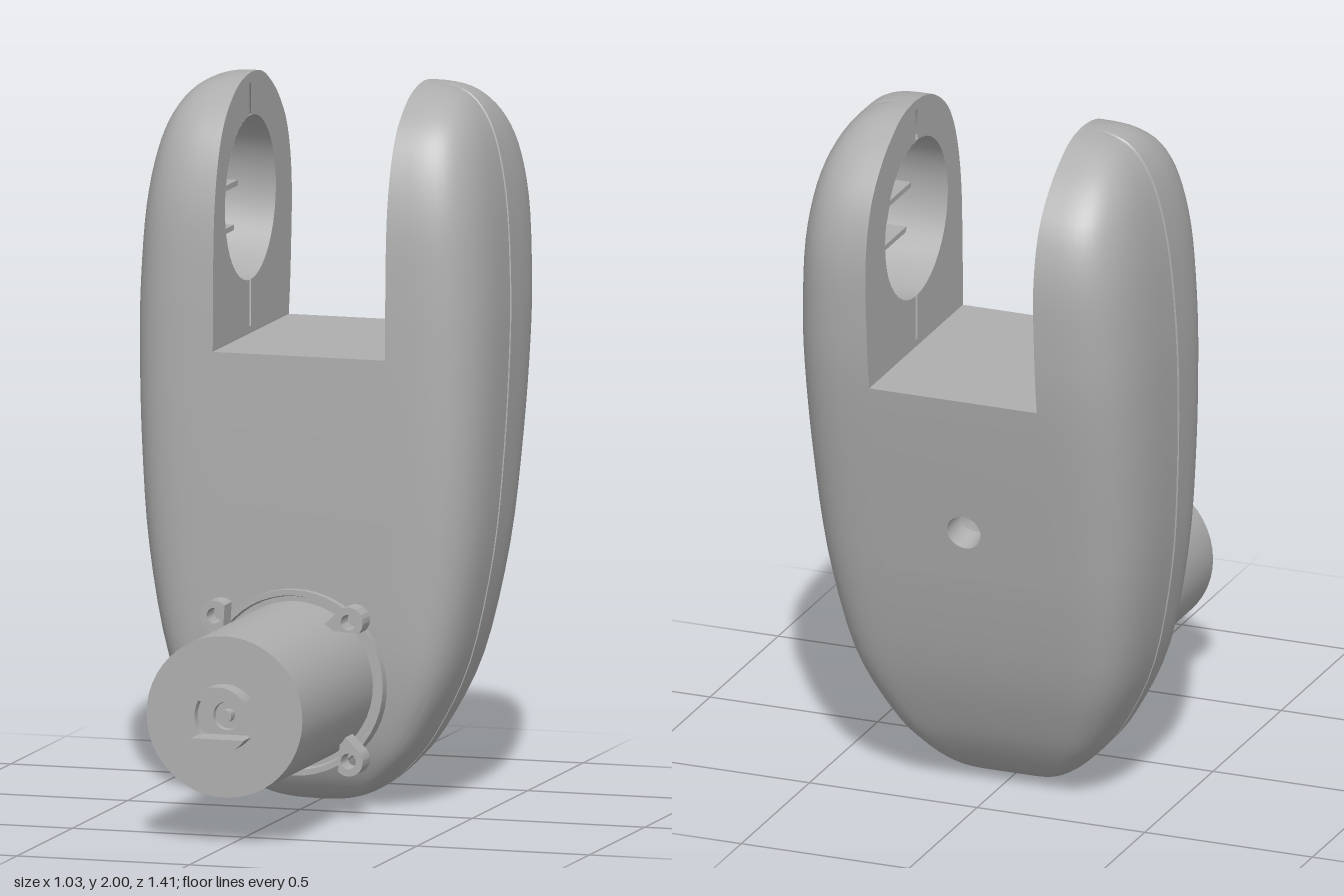
import * as THREE from 'three';
import { mergeGeometries, toCreasedNormals } from 'three/addons/utils/BufferGeometryUtils.js';

const grey = new THREE.MeshStandardMaterial({ color: 0xaeaeae, side: THREE.DoubleSide });
grey.name = 'satin grey';

const SLOT = 0.25;            // half width of the fork slot
const SUB = 4;                // rows per profile step
const PANEL_ROW = 6 * SUB;    // flat rear panel spans one profile step from here
const FLOOR_ROW = 8 * SUB;    // slot floor

// Body profile: height, half width, front z, back z
const keys = [
  [0, 0, -0.2, -0.2], [0.012, 0.1, -0.155, -0.245], [0.04, 0.175, -0.117, -0.293],
  [0.1, 0.25, -0.077, -0.345], [0.2, 0.328, -0.04, -0.405], [0.4, 0.42, -0.007, -0.488],
  [0.7, 0.481, 0.004, -0.567], [1.0, 0.506, 0.01, -0.627], [1.27, 0.515, 0.01, -0.677],
  [1.45, 0.513, 0.008, -0.697], [1.65, 0.5, -0.003, -0.703], [1.8, 0.475, -0.04, -0.665],
  [1.9, 0.44, -0.1, -0.585], [1.965, 0.39, -0.19, -0.49], [1.992, 0.325, -0.27, -0.42],
  [2, SLOT, -0.345, -0.345],
];
const LAST_ROW = (keys.length - 1) * SUB;
const curve = (a, b) => new THREE.CatmullRomCurve3(
  keys.map(k => new THREE.Vector3(k[a], k[b], 0)), false, 'catmullrom', 0.5);
const widthCurve = curve(0, 1), depthCurve = curve(2, 3);

function profile(row) {
  const a = widthCurve.getPoint(row / LAST_ROW), b = depthCurve.getPoint(row / LAST_ROW);
  const onPanel = row >= PANEL_ROW && row <= PANEL_ROW + SUB;
  return {
    y: a.x, w: a.y, front: b.x,
    f: row >= PANEL_ROW ? SLOT : Math.min(SLOT, a.y * 0.6),
    back: onPanel ? THREE.MathUtils.mapLinear(a.x, 0.7, 1.0, -0.567, -0.627) : b.y,
  };
}

// Half cross-section from the back, round the side with its seam groove, to the front
function halfSection(row) {
  const { y, w, f, front, back } = profile(row);
  const seam = THREE.MathUtils.lerp(-0.2, -0.345, y / 2);
  const e = 2 / 3.4, n = 16, pts = [];
  const groove = Math.min(1, Math.max(0, w - f) / 0.1);
  for (let i = -n; i <= n; i++) {
    const a = Math.abs(i) / n * Math.PI / 2;
    const reach = i < 0 ? back - seam : front - seam;
    const x = Math.abs(i) === n ? f : f + (w - f) * Math.cos(a) ** e;
    const z = seam + reach * Math.sin(a) ** e;
    if (i === 0) {
      pts.push([w, y, seam - 0.006 * groove], [w - 0.012 * groove, y, seam], [w, y, seam + 0.006 * groove]);
    } else pts.push([x, y, z]);
  }
  return pts;
}

// Surface through rows of points
function loft(rows) {
  const cols = rows[0].length, index = [];
  for (let r = 0; r < rows.length - 1; r++) {
    for (let c = 0; c < cols - 1; c++) {
      const a = r * cols + c, b = a + 1, d = a + cols;
      index.push(a, d, b, b, d, d + 1);
    }
  }
  const g = new THREE.BufferGeometry();
  g.setAttribute('position', new THREE.Float32BufferAttribute(rows.flat(2), 3));
  g.setIndex(index);
  return g.toNonIndexed();
}

function mirrored(geo) {
  const g = geo.index ? geo.toNonIndexed() : geo.clone();
  const p = g.attributes.position;
  const a = new THREE.Vector3(), b = new THREE.Vector3();
  for (let i = 0; i < p.count; i += 3) {
    a.fromBufferAttribute(p, i + 1);
    b.fromBufferAttribute(p, i + 2);
    p.setXYZ(i + 1, b.x, b.y, b.z);
    p.setXYZ(i + 2, a.x, a.y, a.z);
  }
  for (let i = 0; i < p.count; i++) p.setX(i, -p.getX(i));
  g.computeVertexNormals();
  return g;
}

const range = (a, b) => Array.from({ length: b - a + 1 }, (_, i) => a + i);
const vectors = pts => pts.map(p => new THREE.Vector2(...p));

export function createModel() {
  const model = new THREE.Group();
  model.name = 'forkedBracketWithMotor';
  const add = (geo, name, parent = model) => {
    const m = new THREE.Mesh(geo, grey);
    m.name = name;
    parent.add(m);
    return m;
  };

  // Outer shell: two sides joined by front and back strips below the slot
  const side = loft(range(0, LAST_ROW).map(halfSection));
  const strip = (from, to, face) => loft(range(from, to).map(r => {
    const { y, f, front, back } = profile(r);
    return face === 'front' ? [[f, y, front], [-f, y, front]] : [[-f, y, back], [f, y, back]];
  }));
  const shell = mergeGeometries([side, mirrored(side), strip(0, FLOOR_ROW, 'front'),
    strip(0, PANEL_ROW, 'back'), strip(PANEL_ROW + SUB, FLOOR_ROW, 'back')].map(g => {
    g.deleteAttribute('normal');
    return g;
  }));
  add(toCreasedNormals(shell, 0.6), 'bodyShell');

  // Rear panel with a screw hole
  const lo = profile(PANEL_ROW), hi = profile(PANEL_ROW + SUB);
  const panel = new THREE.Shape(vectors([[SLOT, lo.y], [SLOT, hi.y], [-SLOT, hi.y], [-SLOT, lo.y]]));
  panel.holes.push(new THREE.Path().absarc(0, 0.85, 0.05, 0, Math.PI * 2));
  const panelGeo = mirrored(new THREE.ShapeGeometry(panel, 24));
  const pp = panelGeo.attributes.position;
  for (let i = 0; i < pp.count; i++) {
    pp.setZ(i, THREE.MathUtils.mapLinear(pp.getY(i), lo.y, hi.y, lo.back, hi.back));
  }
  panelGeo.computeVertexNormals();
  add(panelGeo, 'rearPanel');
  const well = new THREE.LatheGeometry(vectors([[0.051, 0], [0.045, 0.08], [0, 0.1]]), 24).rotateX(Math.PI / 2);
  const screwHole = add(toCreasedNormals(well, 0.6), 'screwHole');
  screwHole.position.set(0, 0.85, -0.597);
  screwHole.rotation.x = -0.2;

  // Slot floor
  const base = profile(FLOOR_ROW);
  const floor = new THREE.PlaneGeometry(2 * SLOT, base.front - base.back).rotateX(-Math.PI / 2);
  add(floor, 'slotFloor').position.set(0, base.y, (base.front + base.back) / 2);

  // Inner prong wall with a round opening and a seam slit
  const rows = range(FLOOR_ROW, LAST_ROW).map(profile);
  const wall = new THREE.Shape(vectors([
    ...rows.map(p => [p.front, p.y]),
    ...rows.slice(0, -1).reverse().map(p => [p.back, p.y])]));
  const cz = -0.33, cy = 1.65, R = 0.23, slit = 0.006, d = slit / R;
  const opening = new THREE.Path();
  opening.absarc(cz, cy, R, Math.PI / 2 + d, Math.PI * 1.5 - d);
  opening.lineTo(cz - slit, 1.29);
  opening.lineTo(cz + slit, 1.29);
  opening.absarc(cz, cy, R, Math.PI * 1.5 + d, Math.PI * 2.5 - d);
  opening.lineTo(cz + slit, 1.97);
  opening.lineTo(cz - slit, 1.97);
  wall.holes.push(opening);
  const wallGeo = new THREE.ShapeGeometry(wall, 24);
  const wp = wallGeo.attributes.position;
  for (let i = 0; i < wp.count; i++) wp.setXYZ(i, SLOT, wp.getY(i), wp.getX(i));
  wallGeo.computeVertexNormals();

  // Socket behind the opening, with three ribs
  const socketEnd = 0.42, ribDepth = 0.06;
  const socket = new THREE.CylinderGeometry(R, R, socketEnd - SLOT, 40, 1, true)
    .rotateZ(Math.PI / 2).translate((SLOT + socketEnd) / 2, cy, cz);
  const socketBack = new THREE.CircleGeometry(R, 40).rotateY(-Math.PI / 2).translate(socketEnd, cy, cz);
  const ribs = [-0.12, 0, 0.12].map(dy =>
    new THREE.BoxGeometry(ribDepth, 0.015, 2 * Math.sqrt(R * R - dy * dy))
      .translate(socketEnd - ribDepth / 2, cy + dy, cz));
  const prongParts = [[wallGeo, 'ProngWall'], [socket, 'Socket'], [socketBack, 'SocketBack'],
    [mergeGeometries(ribs), 'SocketRibs']];
  for (const [geo, name] of prongParts) {
    add(geo, 'left' + name);
    add(toCreasedNormals(mirrored(geo), 0.6), 'right' + name);
  }

  // Motor with a recessed end and a shaft
  const motor = new THREE.Group();
  motor.name = 'motor';
  motor.position.set(-0.012, 0.358, 0);
  model.add(motor);
  const turned = (pts, name) => add(toCreasedNormals(
    new THREE.LatheGeometry(vectors(pts), 48).rotateX(Math.PI / 2), 0.6), name, motor);
  turned([[0.226, -0.08], [0.226, 0.645], [0.087, 0.645], [0.085, 0.62], [0.04, 0.62], [0.038, 0.605],
    [0.018, 0.605], [0.018, 0.64], [0, 0.64]], 'motorCan');
  turned([[0.26, -0.12], [0.26, 0.025], [0.244, 0.025], [0.24, 0.008], [0.2, 0.008]], 'mountingFlange');

  // Split boss on the end of the motor
  const a0 = Math.asin(0.053 / 0.093);
  for (const turn of [0, Math.PI]) {
    const seg = new THREE.Shape().absarc(0, 0, 0.093, a0, Math.PI - a0);
    const g = new THREE.ExtrudeGeometry(seg, { depth: 0.095, bevelEnabled: false, curveSegments: 16 });
    const boss = add(g, 'endBoss', motor);
    boss.position.z = 0.615;
    boss.rotation.z = turn;
  }

  // Four screw lugs
  const lug = new THREE.Shape();
  lug.moveTo(0.2, -0.042);
  lug.absarc(0.275, 0, 0.042, -Math.PI / 2, Math.PI / 2);
  lug.lineTo(0.2, 0.042);
  lug.holes.push(new THREE.Path().absarc(0.275, 0, 0.022, 0, Math.PI * 2));
  const lugGeo = toCreasedNormals(new THREE.ExtrudeGeometry(lug,
    { depth: 0.065, bevelEnabled: false, curveSegments: 16 }), 0.6);
  for (let i = 0; i < 4; i++) {
    const m = add(lugGeo, 'screwLug', motor);
    m.position.z = 0.067;
    m.rotation.z = Math.PI / 4 + i * Math.PI / 2;
  }
  return model;
}
